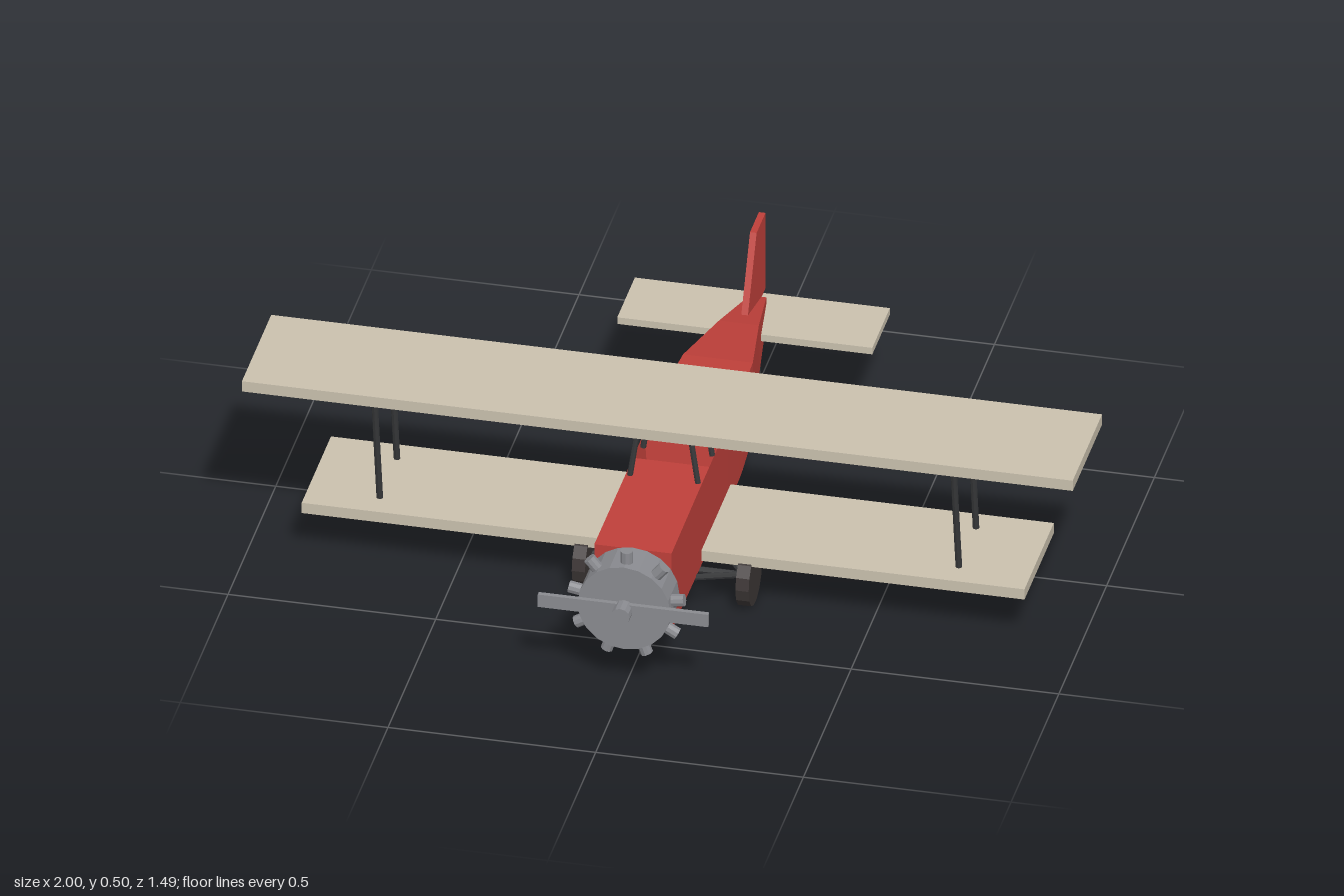
import * as THREE from 'three';

const paint = (name, color) => Object.assign(new THREE.MeshStandardMaterial({ color, flatShading: true }), { name });

// Flat-faced geometry from counter-clockwise quads
function quadGeometry(quads) {
  const pos = [];
  for (const [a, b, c, d] of quads) for (const p of [a, b, c, a, c, d]) pos.push(...p);
  const g = new THREE.BufferGeometry();
  g.setAttribute('position', new THREE.Float32BufferAttribute(pos, 3));
  g.computeVertexNormals();
  return g;
}

export function createModel() {
  const red = paint('redBody', 0xbf403a);
  const cream = paint('creamFabric', 0xcac1ae);
  const steel = paint('steelGrey', 0x8a8b90);
  const dark = paint('darkRubber', 0x3c3635);
  const strutGrey = paint('strutGrey', 0x38393b);
  const model = new THREE.Group();
  model.name = 'biplane';

  const add = (name, geometry, material, x = 0, y = 0, z = 0, parent = model) => {
    const m = new THREE.Mesh(geometry, material);
    m.name = name;
    m.position.set(x, y, z);
    parent.add(m);
    return m;
  };
  // Round rod between two points
  const rod = (name, from, to, r, material = strutGrey) => {
    const a = new THREE.Vector3(...from), b = new THREE.Vector3(...to);
    const dir = b.clone().sub(a);
    const m = add(name, new THREE.CylinderGeometry(r, r, dir.length(), 8), material);
    m.position.copy(a).add(b).multiplyScalar(0.5);
    m.quaternion.setFromUnitVectors(new THREE.Vector3(0, 1, 0), dir.normalize());
    return m;
  };

  // Fuselage stations: z, half width, top, bottom, cockpit opening behind
  const stations = [
    [0.61, 0.093, 0.33, 0.118], [0.3, 0.092, 0.33, 0.11],
    [0.21, 0.092, 0.33, 0.109, true], [0.09, 0.092, 0.33, 0.108],
    [0.012, 0.092, 0.33, 0.108, true], [-0.11, 0.091, 0.33, 0.107],
    [-0.15, 0.09, 0.33, 0.109], [-0.28, 0.084, 0.324, 0.12],
    [-0.5, 0.048, 0.291, 0.149], [-0.7, 0.02, 0.245, 0.178],
  ];
  const rings = stations.map(([z, w, t, b]) => [[-w, t, z], [w, t, z], [w, b, z], [-w, b, z]]);
  const skin = [], floors = [];
  for (let i = 0; i < rings.length - 1; i++) {
    const [tl, tr, br, bl] = rings[i], [TL, TR, BR, BL] = rings[i + 1];
    skin.push([tr, br, BR, TR], [TL, BL, bl, tl], [BL, BR, br, bl]);
    const rim = [tl, tr, TR, TL];
    if (!stations[i][4]) { skin.push(rim); continue; }
    // Tapered cockpit well
    const mid = (tl[2] + TL[2]) / 2;
    const floor = rim.map(([x, , z]) => [x * 0.88, 0.22, mid + (z - mid) * 0.75]);
    rim.forEach((p, k) => { const n = (k + 1) % 4; skin.push([p, rim[n], floor[n], floor[k]]); });
    floors.push(floor);
  }
  const [tl, tr, br, bl] = rings[0], [TL, TR, BR, BL] = rings.at(-1);
  skin.push([tl, bl, br, tr], [TR, BR, BL, TL]);
  add('fuselage', quadGeometry(skin), red);
  add('cockpitFloors', quadGeometry(floors), dark);

  // Wings and tail
  add('upperWing', new THREE.BoxGeometry(2, 0.028, 0.307), cream, 0, 0.488, 0.201);
  add('lowerWing', new THREE.BoxGeometry(1.74, 0.028, 0.307), cream, 0, 0.136, 0.141);
  add('tailplane', new THREE.BoxGeometry(0.614, 0.018, 0.184), cream, 0, 0.219, -0.653);
  const finShape = new THREE.Shape([[0.541, 0.243], [0.743, 0.243], [0.743, 0.45], [0.65, 0.45]]
    .map(([x, y]) => new THREE.Vector2(x, y)));
  const fin = new THREE.ExtrudeGeometry(finShape, { depth: 0.016, bevelEnabled: false });
  add('fin', fin.translate(0, 0, -0.008).rotateY(Math.PI / 2), red);

  // Radial engine
  const cy = 0.222;
  const engine = new THREE.Group();
  engine.name = 'engine';
  engine.position.set(0, cy, 0);
  model.add(engine);
  add('crankcase', new THREE.CylinderGeometry(0.112, 0.112, 0.093, 20).rotateX(Math.PI / 2), steel, 0, 0, 0.657, engine);
  for (let i = 0; i < 9; i++) {
    const a = (i / 9) * Math.PI * 2;
    const c = add('engineCylinder', new THREE.CylinderGeometry(0.015, 0.015, 0.06, 10), steel,
      Math.sin(a) * 0.111, Math.cos(a) * 0.111, 0.674, engine);
    c.rotation.z = -a;
  }
  add('propeller', new THREE.BoxGeometry(0.41, 0.034, 0.012), steel, 0, 0, 0.709, engine);
  add('propellerHub', new THREE.CylinderGeometry(0.023, 0.023, 0.043, 12).rotateX(Math.PI / 2), steel, 0, 0, 0.7235, engine);

  // Wing struts and landing gear, mirrored
  for (const s of [1, -1]) {
    for (const z of [0.29, 0.11]) rod('wingStrut', [s * 0.697, 0.48, z], [s * 0.697, 0.145, z - 0.062], 0.008);
    for (const z of [0.285, 0.141]) rod('cabaneStrut', [s * 0.06, 0.48, z], [s * 0.083, 0.32, z], 0.007);
    for (const z of [0.365, 0.14]) rod('gearLeg', [s * 0.07, 0.115, z], [s * 0.185, 0.074, 0.255], 0.008);
    add('wheel', new THREE.CylinderGeometry(0.07, 0.07, 0.032, 14).rotateZ(Math.PI / 2), dark, s * 0.197, 0.071, 0.255);
  }
  rod('axle', [-0.19, 0.073, 0.255], [0.19, 0.073, 0.255], 0.008);
  rod('tailSkid', [0, 0.19, -0.642], [0, 0.007, -0.711], 0.007);
  return model;
}
